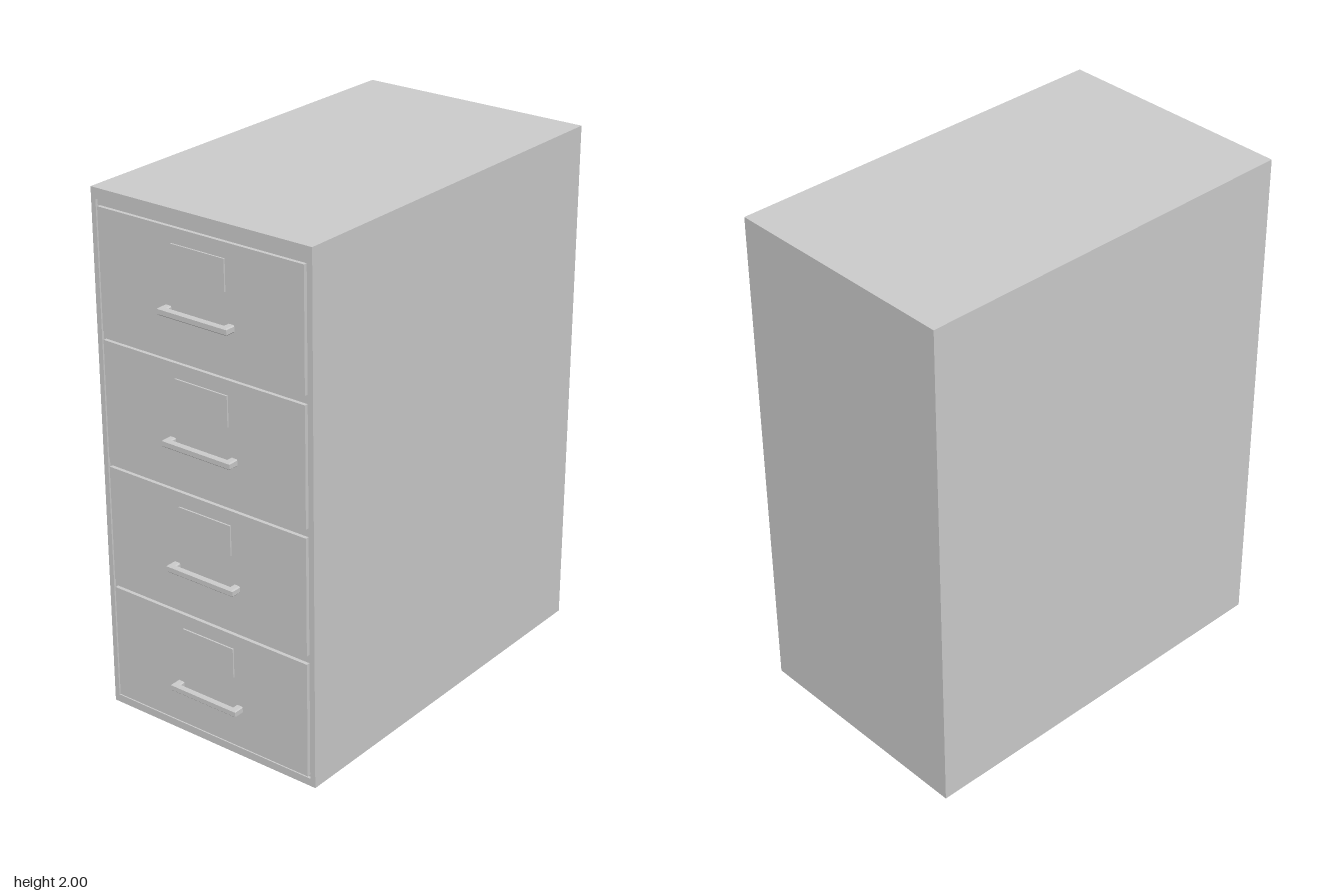
import * as THREE from 'three';

const material = new THREE.MeshStandardMaterial({ color: 0xcccccc });

function add(parent, name, geometry, x = 0, y = 0, z = 0) {
  const mesh = new THREE.Mesh(geometry, material);
  mesh.name = name;
  mesh.position.set(x, y, z);
  parent.add(mesh);
  return mesh;
}

function polygon(points) {
  return new THREE.Shape(points.map(([x, y]) => new THREE.Vector2(x, y)));
}

const rect = (x, y0, y1) => [[-x, y0], [x, y0], [x, y1], [-x, y1]];

export function createModel() {
  const cabinet = new THREE.Group();
  cabinet.name = 'filingCabinet';

  const back = -0.802, front = 0.757, recess = 0.01;
  const bodyDepth = front - recess - back;

  // Closed body, with a thin front frame around the drawer recess
  add(cabinet, 'body', new THREE.BoxGeometry(0.94, 2, bodyDepth), 0, 1, back + bodyDepth / 2);
  const frame = polygon(rect(0.47, 0, 2));
  frame.holes.push(polygon(rect(0.45, 0.03, 1.96)));
  add(cabinet, 'frontFrame',
    new THREE.ExtrudeGeometry(frame, { depth: recess, bevelEnabled: false }), 0, 0, front - recess);

  // U-shaped pull, lying flat, with slightly chamfered edges
  const b = 0.004;
  const pull = polygon([
    [-0.15 + b, 0], [-0.15 + b, 0.041 - b], [0.15 - b, 0.041 - b], [0.15 - b, 0],
    [0.122 + b, 0], [0.122 + b, 0.019 + b], [-0.122 - b, 0.019 + b], [-0.122 - b, 0],
  ]);
  const pullGeometry = new THREE.ExtrudeGeometry(pull, {
    depth: 0.026 - 2 * b, bevelThickness: b, bevelSize: b, bevelSegments: 1,
  });
  pullGeometry.rotateX(Math.PI / 2).translate(0, 0.013 - b, 0);

  // Four identical drawers, each with a label plate and a pull
  const face = 0.761;
  for (let i = 0; i < 4; i++) {
    const drawer = new THREE.Group();
    drawer.name = 'drawer' + (i + 1);
    drawer.position.y = 1.712 - i * 0.483;
    const depth = face - front + recess;
    add(drawer, 'drawerFront', new THREE.BoxGeometry(0.88, 0.45, depth), 0, 0, face - depth / 2);
    add(drawer, 'labelPlate', new THREE.BoxGeometry(0.23, 0.115, 0.008), 0, 0.112, face + 0.002);
    add(drawer, 'handle', pullGeometry, 0, -0.067, face);
    cabinet.add(drawer);
  }
  return cabinet;
}
